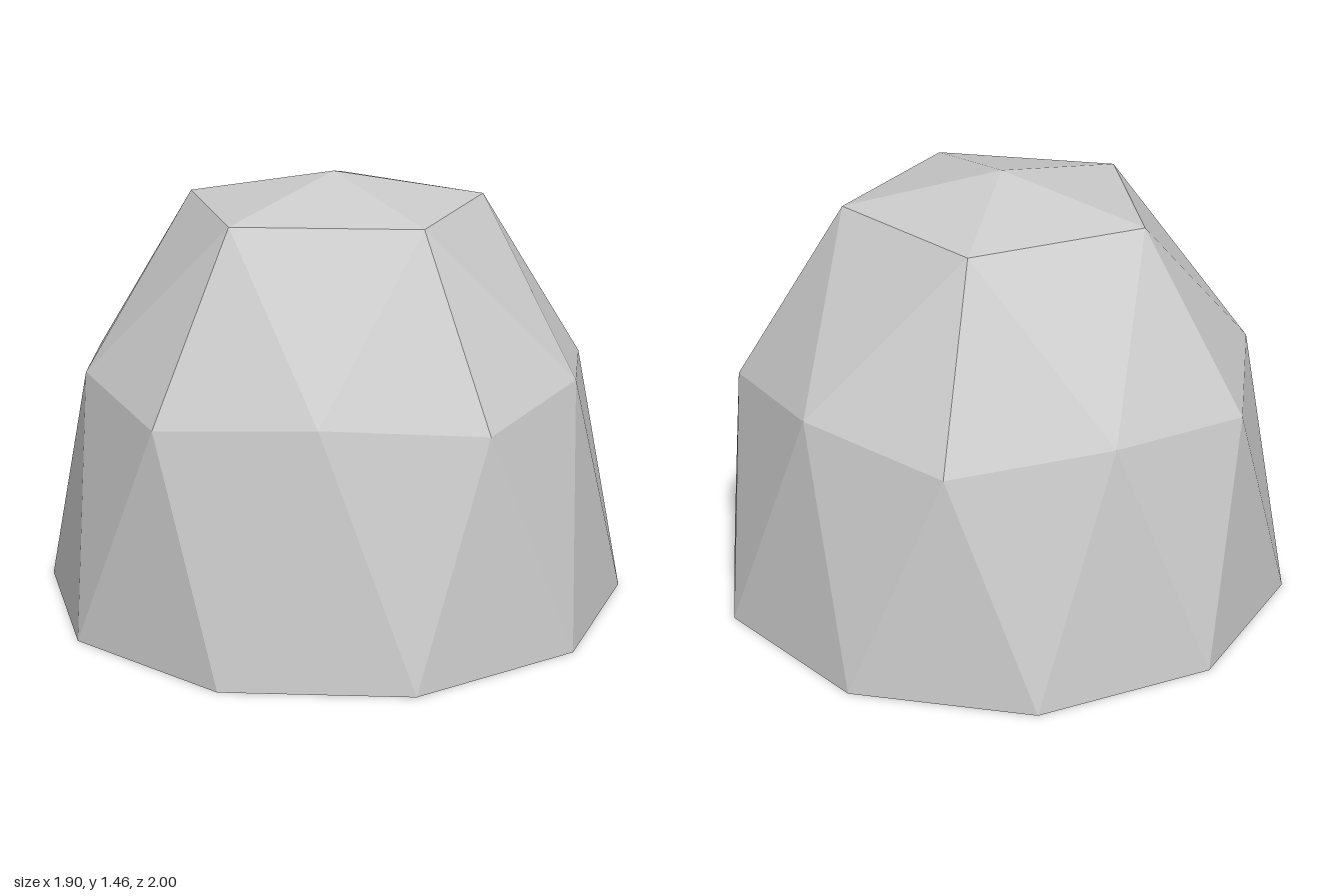
import * as THREE from 'three';

// Ring of points around y; even and odd points may differ in radius and height.
function ring(count, startDeg, ...levels) {
  return Array.from({ length: count }, (_, i) => {
    const [r, y] = levels[i % levels.length];
    const a = THREE.MathUtils.degToRad(startDeg + (360 / count) * i);
    return new THREE.Vector3(r * Math.cos(a), y, r * Math.sin(a));
  });
}

export function createModel() {
  const group = new THREE.Group();
  group.name = 'geodesicDome';
  const grey = new THREE.MeshStandardMaterial({ color: 0xcccccc, flatShading: true });
  grey.name = 'light grey';

  function addPart(name, triangles) {
    const geometry = new THREE.BufferGeometry().setFromPoints(triangles);
    geometry.computeVertexNormals();
    const mesh = new THREE.Mesh(geometry, grey);
    mesh.name = name;
    group.add(mesh);
  }

  const apex = new THREE.Vector3(0, 1.46, 0);
  const centre = new THREE.Vector3(0, 0, 0);
  const top = ring(5, 0, [0.526, 1.357]);
  const middle = ring(10, 0, [0.894, 0.773], [0.851, 0.825]);
  const base = ring(10, 18, [1, 0]);

  // Pentagonal cap and the band of fifteen panels below it
  const cap = [], upper = [];
  for (let i = 0; i < 5; i++) {
    const a = top[i], b = top[(i + 1) % 5];
    const before = middle[(2 * i + 9) % 10], under = middle[2 * i], after = middle[2 * i + 1];
    cap.push(apex, b, a);
    upper.push(a, under, before, a, after, under, a, b, after);
  }

  // Zigzag wall down to the ground and the floor
  const wall = [], floor = [];
  for (let i = 0; i < 10; i++) {
    const next = (i + 1) % 10;
    wall.push(middle[i], middle[next], base[i], middle[next], base[next], base[i]);
    floor.push(centre, base[i], base[next]);
  }

  addPart('cap', cap);
  addPart('upperPanels', upper);
  addPart('lowerWall', wall);
  addPart('floor', floor);
  return group;
}
